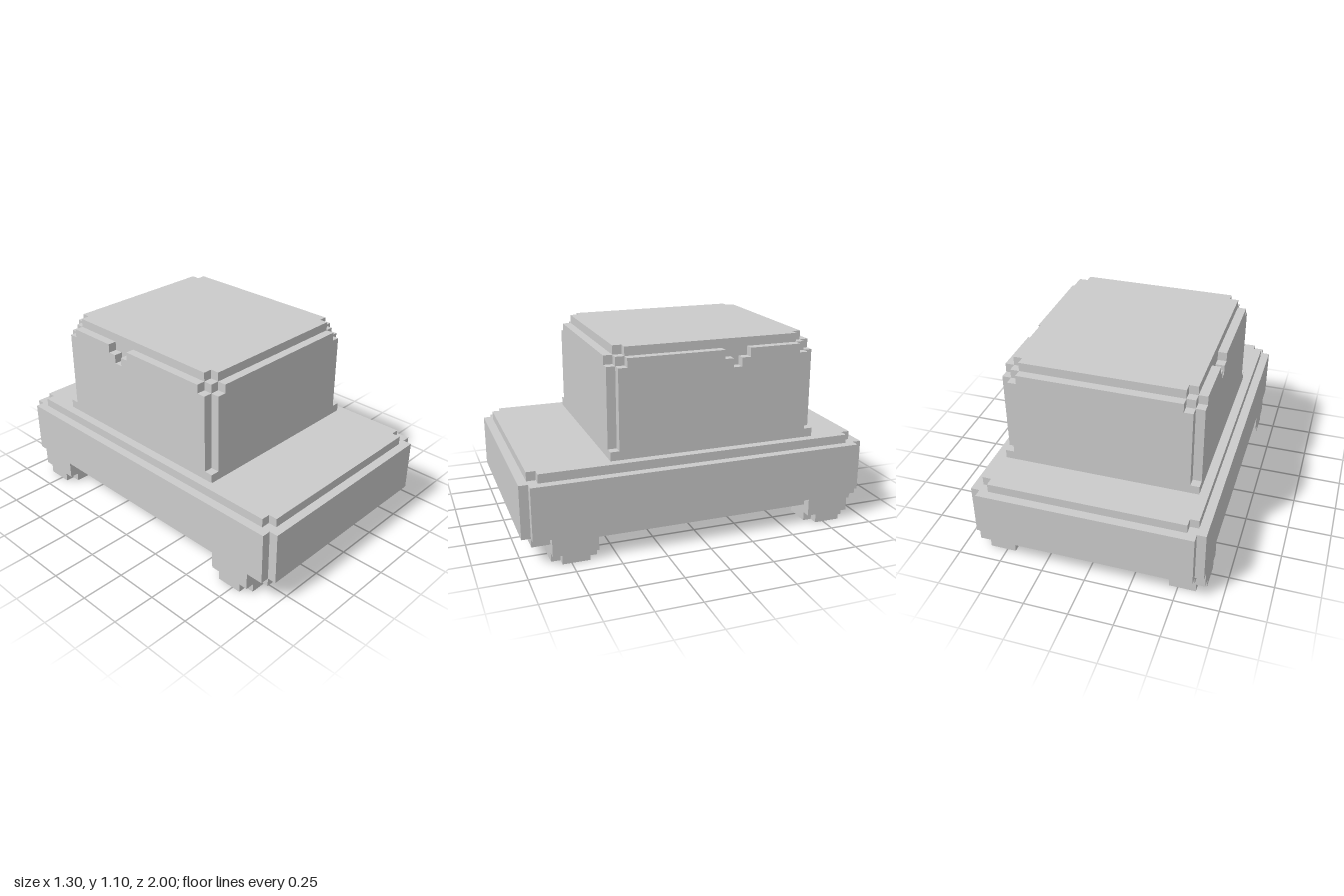
import * as THREE from 'three';

const U = 0.05; // size of one block step

// Plan outline with stair-cut corners and an optional slot [from, to] in both sides
function planShape(hx, hz, steps, slot) {
  const corner = steps === 0 ? [[0, 0]] : [];
  for (let i = 0; i < steps; i++) {
    corner.push([i, steps - i], [i + 1, steps - i]);
  }
  if (steps > 0) corner.push([steps, 0]);
  const quadrant = (sx, sy) => {
    const pts = corner.map(([a, b]) => [sx * (hx - a * U), sy * (hz - b * U)]);
    return sx * sy > 0 ? pts : pts.reverse();
  };
  const notch = (s) => {
    if (!slot) return [];
    const pts = [[hx, slot[0]], [hx - U, slot[0]], [hx - U, slot[1]], [hx, slot[1]]]
      .map(([x, y]) => [s * x, y]);
    return s > 0 ? pts : pts.reverse();
  };
  const outline = [
    ...quadrant(1, 1), ...quadrant(-1, 1), ...notch(-1),
    ...quadrant(-1, -1), ...quadrant(1, -1), ...notch(1),
  ];
  return new THREE.Shape(outline.map(([x, y]) => new THREE.Vector2(x, y)));
}

export function createModel() {
  const model = new THREE.Group();
  const material = new THREE.MeshStandardMaterial({ color: 0xcccccc, flatShading: true });

  // Each layer: [half width, half depth, bottom, top, corner steps, slot]
  function stack(name, x, z, layers) {
    const group = new THREE.Group();
    group.name = name;
    for (const [hx, hz, y0, y1, steps, slot] of layers) {
      const geo = new THREE.ExtrudeGeometry(planShape(hx, hz, steps, slot), {
        depth: y1 - y0, bevelEnabled: false,
      });
      geo.rotateX(-Math.PI / 2);
      const mesh = new THREE.Mesh(geo, material);
      mesh.name = name + 'Layer';
      mesh.position.y = y0;
      group.add(mesh);
    }
    group.position.set(x, 0, z);
    model.add(group);
  }

  // Wide lower body with stepped edges
  stack('body', 0, 0, [
    [0.6, 0.95, 0.1, 0.15, 0],
    [0.65, 1, 0.15, 0.45, 1],
    [0.6, 0.95, 0.45, 0.5, 1],
  ]);

  // Cabin with stepped roof corners and a small slot high on each side
  stack('cabin', 0, -0.1, [
    [0.55, 0.6, 0.5, 0.55, 0],
    [0.55, 0.6, 0.55, 0.95, 1],
    [0.55, 0.6, 0.95, 1, 1, [0.1, 0.15]],
    [0.55, 0.6, 1, 1.05, 2, [0.05, 0.2]],
    [0.5, 0.55, 1.05, 1.1, 1],
  ]);

  // Four feet, trimmed at the corners where they touch the ground
  for (const side of [1, -1]) {
    for (const [name, z] of [['frontFoot', 0.725], ['rearFoot', -0.775]]) {
      stack((side > 0 ? 'left_' : 'right_') + name, side * 0.525, z, [
        [0.125, 0.125, 0, 0.05, 1],
        [0.125, 0.125, 0.05, 0.15, 0],
      ]);
    }
  }
  return model;
}
